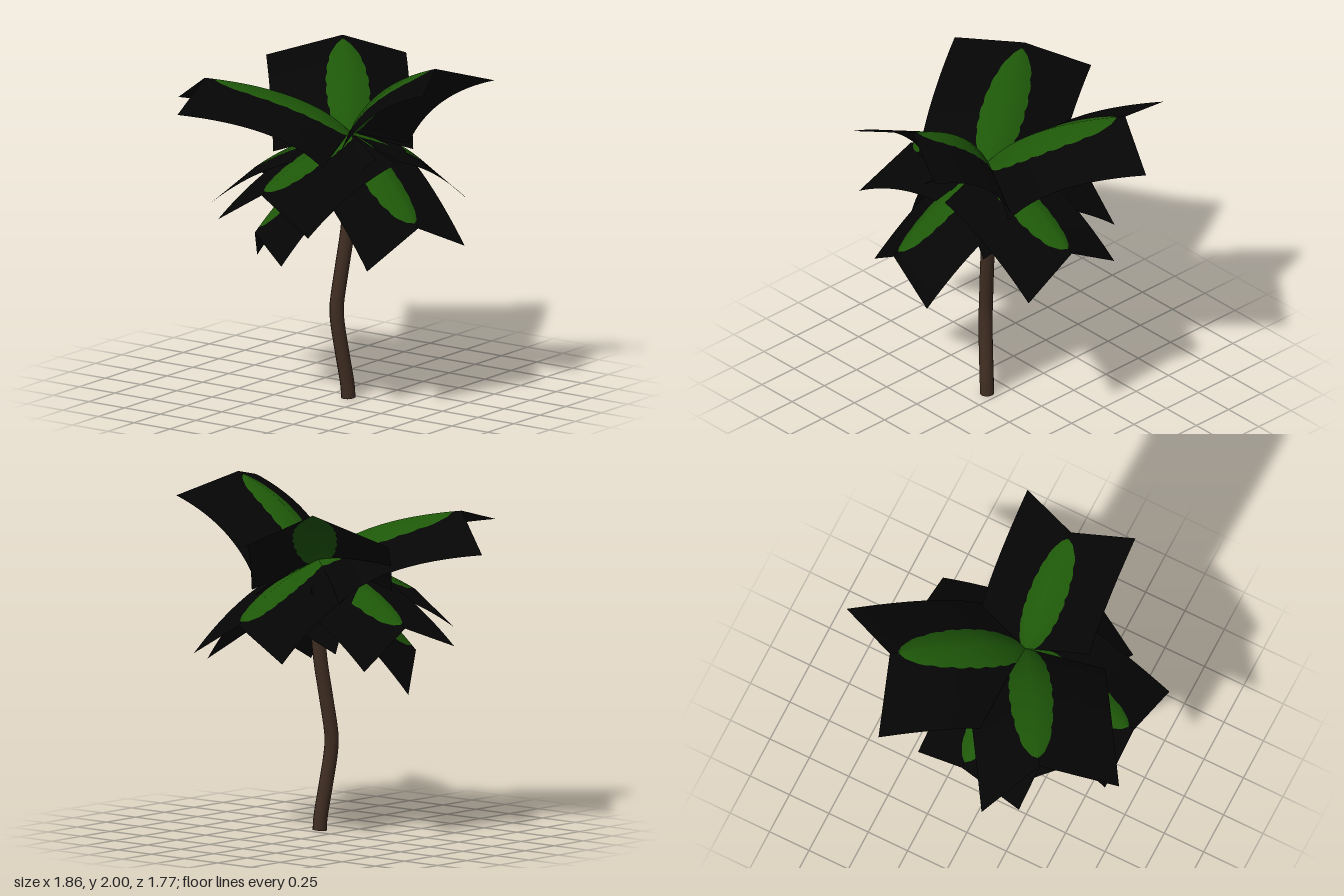
import * as THREE from 'three';

const bark = new THREE.MeshStandardMaterial({ color: 0x3f2d22 });
bark.name = 'bark brown';
const green = new THREE.MeshStandardMaterial({ color: 0x1e5809, side: THREE.DoubleSide });
green.name = 'leaf green';
const dark = new THREE.MeshStandardMaterial({ color: 0x050505, side: THREE.DoubleSide });
dark.name = 'leaf black';

const V = (x, y, z) => new THREE.Vector3(x, y, z);
const CROWN = V(-0.05, 1.55, 0.135);

// Folded sheet: a V section swept along an arched midrib, with a green oval on the rib.
// right and left are the outer corners; reach and lift place the arch's control point;
// baseFold scales the depth of the fold at the crown.
function frond(name, tip, right, left, { reach, lift, baseFold }) {
  const ROWS = 24;
  const control = CROWN.clone().lerp(tip, reach);
  control.y = (CROWN.y + tip.y) / 2 + lift;
  const rib = new THREE.QuadraticBezierCurve3(CROWN, control, tip);
  const toRight = right.clone().sub(tip), toLeft = left.clone().sub(tip);
  const pos = [], greenFaces = [], darkFaces = [];

  for (let i = 0; i <= ROWS; i++) {
    const v = i / ROWS;
    const p = rib.getPoint(v);
    const fold = THREE.MathUtils.lerp(baseFold, 1, v);
    const oval = Math.sqrt(Math.max(0, 1 - ((v - 0.45) / 0.49) ** 2));
    const w = oval * (i % 3 === 0 ? 0.94 : 1);
    for (const u of [-1, -0.28 * w, 0, 0.36 * w, 1]) {
      const side = u < 0 ? toLeft : toRight, d = Math.abs(u);
      pos.push(p.x + side.x * d, p.y + side.y * d * fold, p.z + side.z * d);
    }
  }
  for (let i = 0; i < ROWS; i++) {
    for (let j = 0; j < 4; j++) {
      const k = i * 5 + j;
      const faces = j === 1 || j === 2 ? greenFaces : darkFaces;
      faces.push(k, k + 1, k + 6, k, k + 6, k + 5);
    }
  }
  const g = new THREE.BufferGeometry();
  g.setAttribute('position', new THREE.Float32BufferAttribute(pos, 3));
  g.setIndex([...greenFaces, ...darkFaces]);
  g.addGroup(0, greenFaces.length, 0);
  g.addGroup(greenFaces.length, darkFaces.length, 1);
  g.computeVertexNormals();
  const mesh = new THREE.Mesh(g, [green, dark]);
  mesh.name = name;
  return mesh;
}

function createTrunk() {
  const trunk = new THREE.Group();
  trunk.name = 'trunk';
  const path = new THREE.CatmullRomCurve3([
    V(-0.06, 0, 0.133), V(-0.064, 0.07, 0.131), V(-0.089, 0.25, 0.114), V(-0.113, 0.44, 0.096),
    V(-0.115, 0.53, 0.091), V(-0.088, 0.76, 0.109), V(-0.06, 0.98, 0.128), V(-0.05, 1.2, 0.14),
    V(-0.05, 1.53, 0.14),
  ], false, 'centripetal');
  const stem = new THREE.Mesh(new THREE.TubeGeometry(path, 28, 0.041, 12), bark);
  stem.name = 'stem';
  trunk.add(stem);
  // End caps
  for (const [name, t, turn] of [['stemBase', 0, 1], ['stemTop', 1, -1]]) {
    const cap = new THREE.Mesh(new THREE.CircleGeometry(0.041, 12).rotateX(turn * Math.PI / 2), bark);
    cap.position.copy(path.getPoint(t));
    cap.name = name;
    trunk.add(cap);
  }
  return trunk;
}

export function createModel() {
  const palm = new THREE.Group();
  palm.name = 'palmTree';
  palm.add(createTrunk());

  // Raised fronds: midrib tip, then right and left corners seen from the crown
  const raised = [
    ['raisedFrontFrond', V(-0.04, 2.0, 0.73), V(-0.37, 1.93, 0.885), V(0.315, 1.885, 0.885)],
    ['raisedBackRightFrond', V(-0.49, 1.85, -0.56), V(-0.29, 1.65, -0.89), V(-0.93, 1.74, -0.43)],
    ['raisedBackLeftFrond', V(0.56, 1.92, -0.36), V(0.925, 1.77, -0.18), V(0.415, 1.77, -0.79)],
  ];
  // Drooping fronds
  const drooping = [
    ['lowLeftFrond', V(0.64, 1.25, 0.13), V(0.64, 1.06, 0.465), V(0.64, 1.06, -0.2)],
    ['lowFrontFrond', V(-0.2, 1.1, 0.725), V(-0.505, 0.89, 0.59), V(0.15, 0.94, 0.795)],
    ['lowRightFrond', V(-0.78, 1.31, 0.05), V(-0.76, 1.12, -0.27), V(-0.825, 1.12, 0.41)],
    ['lowBackRightFrond', V(-0.53, 1.01, -0.18), V(-0.26, 0.8, -0.36), V(-0.7, 0.89, 0.13)],
    ['lowBackFrond', V(0, 1.23, -0.565), V(0.3, 1.01, -0.52), V(-0.38, 1.09, -0.6)],
    ['innerLeftFrond', V(0.22, 1.2, 0.1), V(0.1, 1.04, 0.31), V(0.25, 1.08, -0.26)],
  ];
  for (const f of raised) palm.add(frond(...f, { reach: 0.27, lift: 0.09, baseFold: 1 }));
  for (const f of drooping) palm.add(frond(...f, { reach: 0.52, lift: 0.08, baseFold: 0.68 }));
  return palm;
}
